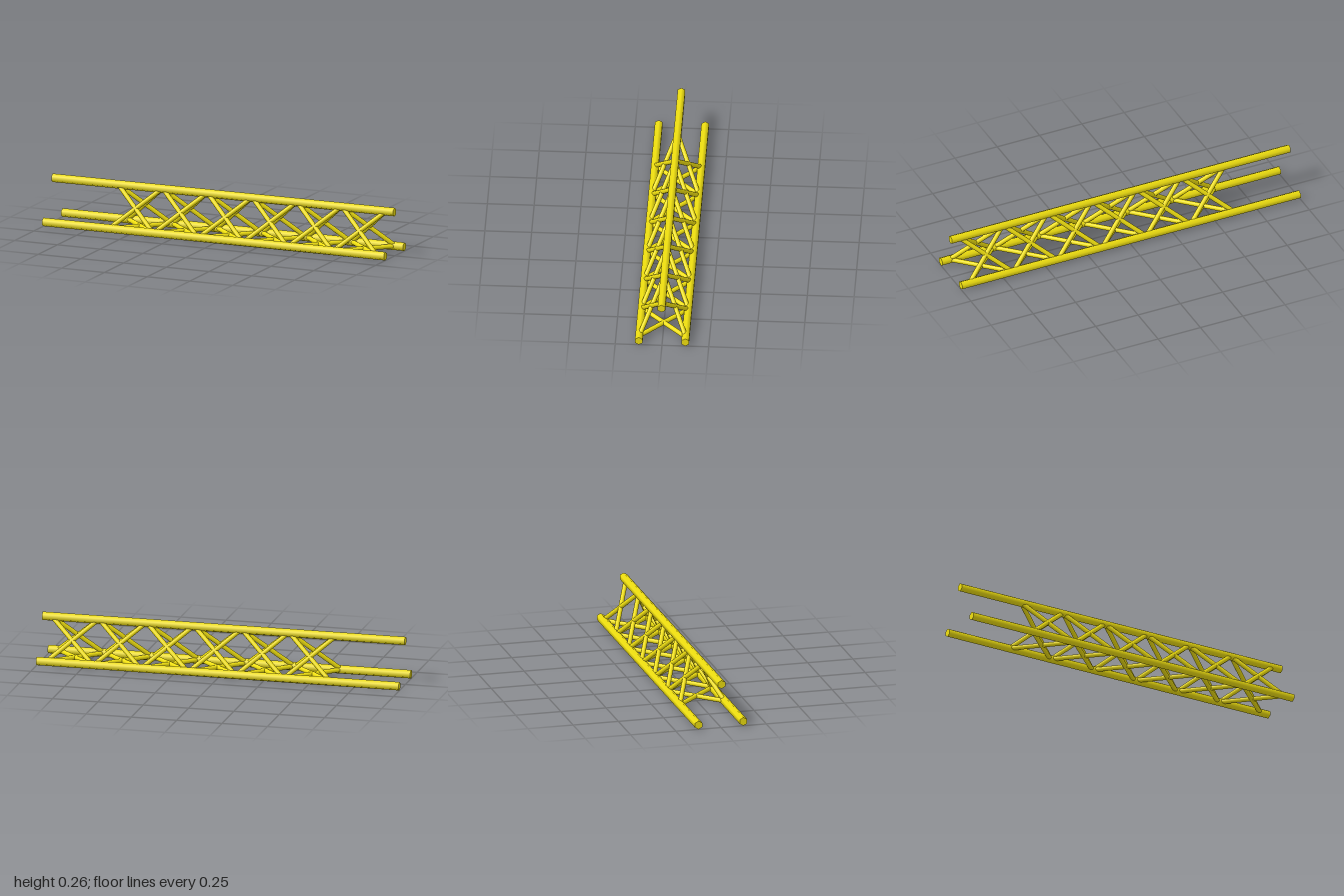
import * as THREE from 'three';

export function createModel() {
  const model = new THREE.Group();
  model.name = 'triangularTruss';
  const yellow = new THREE.MeshStandardMaterial({ color: 0xf0e010 });

  // Chord centres in the cross-section: (y, z)
  const chords = [
    { name: 'topChord', y: 0.24, z: 0.003 },
    { name: 'frontChord', y: 0.0235, z: 0.124 },
    { name: 'backChord', y: 0.0235, z: -0.124 },
  ];

  // Hexagonal tubes running the full length, with a corner pointing up
  const chordGeometry = new THREE.CylinderGeometry(0.0233, 0.0233, 2, 6)
    .rotateY(Math.PI / 6)
    .rotateZ(Math.PI / 2);
  for (const { name, y, z } of chords) {
    const chord = new THREE.Mesh(chordGeometry, yellow);
    chord.name = name;
    chord.position.set(0, y, z);
    model.add(chord);
  }

  // Thin round bar between two points
  const up = new THREE.Vector3(0, 1, 0);
  function addBrace(parent, a, b) {
    const span = b.clone().sub(a);
    const brace = new THREE.Mesh(
      new THREE.CylinderGeometry(0.0125, 0.0125, span.length(), 12), yellow);
    brace.name = 'brace';
    brace.position.copy(a).add(b).multiplyScalar(0.5);
    brace.quaternion.setFromUnitVectors(up, span.normalize());
    parent.add(brace);
  }

  // Six crossed pairs on each of the three faces; the -x end stays bare
  const bays = 6, pitch = 0.262, firstCentre = -0.489, halfSpan = 0.128;
  const faces = [['frontBracing', 0, 1], ['backBracing', 0, 2], ['bottomBracing', 1, 2]];
  for (const [name, i, j] of faces) {
    const bracing = new THREE.Group();
    bracing.name = name;
    for (let bay = 0; bay < bays; bay++) {
      const x = firstCentre + bay * pitch;
      for (const s of [-1, 1]) {
        addBrace(bracing,
          new THREE.Vector3(x + s * halfSpan, chords[i].y, chords[i].z),
          new THREE.Vector3(x - s * halfSpan, chords[j].y, chords[j].z));
      }
    }
    model.add(bracing);
  }
  return model;
}
